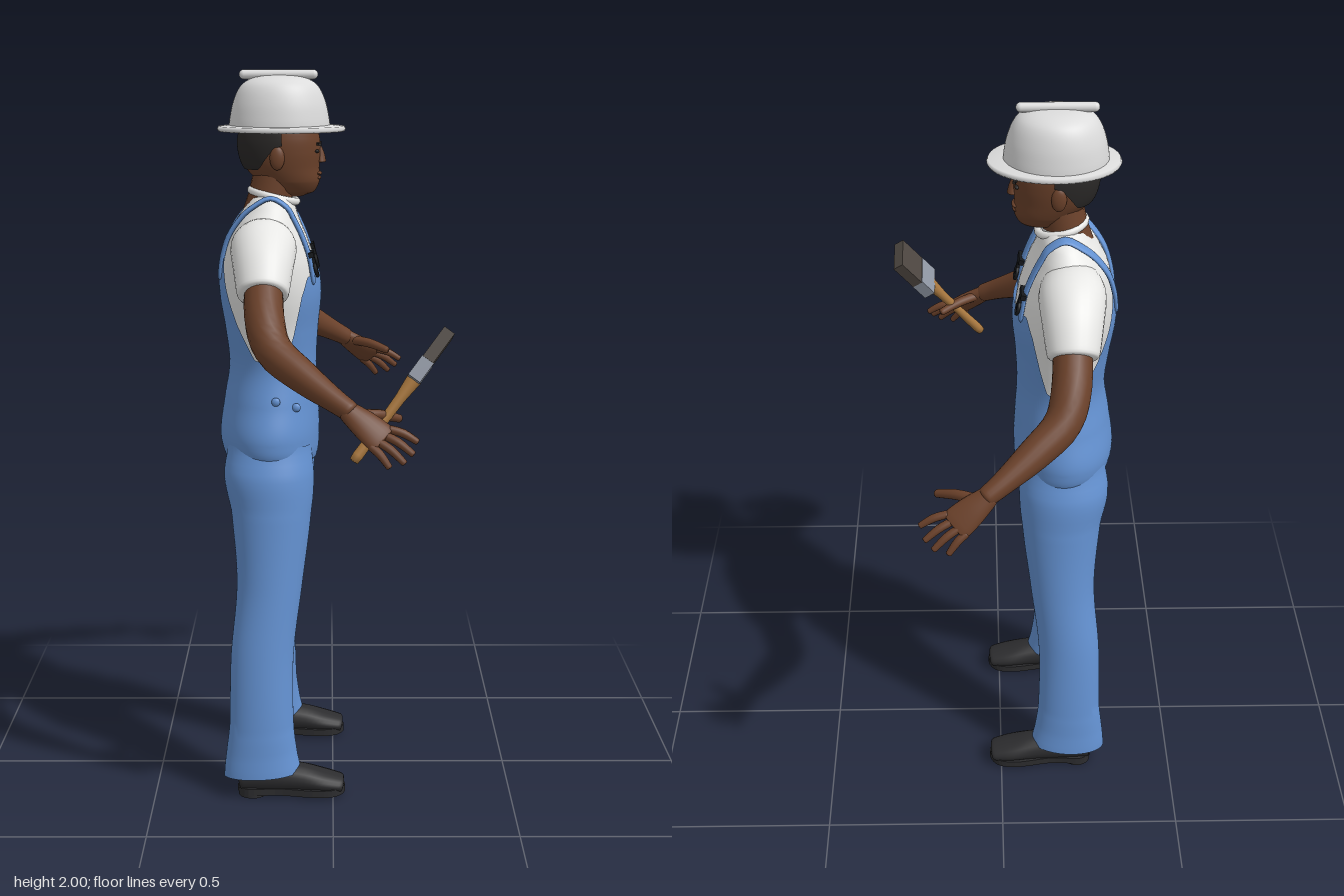
import * as THREE from 'three';
import { ParametricGeometry } from 'three/addons/geometries/ParametricGeometry.js';

const mat = (name, color, double) => {
  const m = new THREE.MeshStandardMaterial({ color, side: double ? THREE.DoubleSide : THREE.FrontSide });
  m.name = name;
  return m;
};

// Catmull-Rom blend of rows of numbers inside segment i
function blend(rows, i, f) {
  const n = rows.length - 1;
  const [a, b, c, d] = [rows[Math.max(i - 1, 0)], rows[i], rows[i + 1], rows[Math.min(i + 2, n)]];
  return b.map((_, k) => b[k] + 0.5 * f * (c[k] - a[k] + f * (2 * a[k] - 5 * b[k] + 4 * c[k] - d[k]
    + f * (3 * (b[k] - c[k]) + d[k] - a[k]))));
}
const alongRows = (rows, t) => {
  const s = t * (rows.length - 1), i = Math.min(Math.floor(s), rows.length - 2);
  return blend(rows, i, s - i);
};
const rowAt = (rows, y) => {
  let i = 0;
  while (i < rows.length - 2 && y > rows[i + 1][0]) i++;
  return blend(rows, i, THREE.MathUtils.clamp((y - rows[i][0]) / (rows[i + 1][0] - rows[i][0]), 0, 1));
};

// Upright body from elliptical slices [y, back x, front x, inner z, outer z]; angle 0 faces +x
function loft(rows, { side = 1, grow = 0, y0, y1, a0 = 0, a1 = Math.PI * 2, slices = 48, stacks = 40 } = {}) {
  const low = y0 ?? (() => rows[0][0]), high = y1 ?? (() => rows[rows.length - 1][0]);
  return new ParametricGeometry((u, v, p) => {
    const a = a0 + (a1 - a0) * u;
    const fold = Math.acos(THREE.MathUtils.clamp(Math.cos(a), -1, 1));
    const y = THREE.MathUtils.lerp(low(fold), high(fold), v);
    const [, xb, xf, zi, zo] = rowAt(rows, y);
    p.set((xb + xf) / 2 + ((xf - xb) / 2 + grow) * Math.cos(a), y,
      side * (zi + zo) / 2 - ((zo - zi) / 2 + grow) * Math.sin(a));
  }, slices, stacks);
}

// Rounded limb along rows [x, y, z, radius across, radius along ref]
function limb(rows, ref = [0, 1, 0], side = 1, slices = 20, stacks = 28) {
  const r = rows.map(([x, y, z, ra, rb = ra]) => [x, y, z * side, ra, rb]);
  const up = new THREE.Vector3(ref[0], ref[1], ref[2] * side);
  const dir = new THREE.Vector3(), s = new THREE.Vector3(), t = new THREE.Vector3();
  return new ParametricGeometry((u, v, p) => {
    const w = 0.5 - 0.5 * Math.cos(Math.PI * v), a = u * Math.PI * 2;
    const c = alongRows(r, w);
    const b = alongRows(r, Math.max(w - 0.002, 0)), e = alongRows(r, Math.min(w + 0.002, 1));
    dir.set(e[0] - b[0], e[1] - b[1], e[2] - b[2]).normalize();
    s.crossVectors(up, dir).normalize();
    t.crossVectors(dir, s);
    const round = Math.max(Math.sqrt(Math.max(1 - Math.pow(2 * w - 1, 30), 0)), 0.02);
    p.set(c[0], c[1], c[2]).addScaledVector(s, c[3] * round * Math.cos(a)).addScaledVector(t, c[4] * round * Math.sin(a));
  }, slices, stacks);
}

export function createModel() {
  const model = new THREE.Group();
  model.name = 'painter';
  const skin = mat('brown skin', 0x6b412a), white = mat('white shirt', 0xececea, true);
  const denim = mat('blue denim', 0x6492d2, true), shell = mat('helmet white', 0xdcdcdc, true);
  const black = mat('shoe black', 0x2c2c2e), hairMat = mat('hair', 0x2a2827, true);
  const wood = mat('wood', 0xa9783f), steel = mat('steel', 0x8f96a3);
  const bristle = mat('bristles', 0x4d4640), plastic = mat('buckle black', 0x17191c);
  const add = (name, geo, m, pos = [0, 0, 0], parent = model) => {
    const mesh = new THREE.Mesh(geo, m);
    mesh.name = name;
    mesh.position.set(...pos);
    parent.add(mesh);
    return mesh;
  };
  const ball = (x, y, z) => new THREE.SphereGeometry(1, 20, 14).scale(x, y, z);

  // Torso: shirt, and overalls whose top edge dips under the arms
  const torso = [[0.895, -0.26, -0.1, 0.02], [0.93, -0.295, -0.052, 0.17], [1.0, -0.312, -0.042, 0.2],
    [1.1, -0.3, -0.045, 0.178], [1.2, -0.285, -0.05, 0.158], [1.3, -0.295, -0.045, 0.172], [1.4, -0.31, -0.036, 0.195],
    [1.48, -0.308, -0.045, 0.205], [1.55, -0.293, -0.067, 0.2], [1.6, -0.268, -0.088, 0.17], [1.64, -0.24, -0.1, 0.125],
    [1.662, -0.225, -0.11, 0.09], [1.672, -0.2, -0.13, 0.05]].map(([y, b, f, h]) => [y, b, f, -h, h]);
  const edge = [[0, 1.455], [0.7, 1.455], [0.76, 1.44], [0.9, 1.4], [1.05, 1.3], [1.2, 1.235], [1.5, 1.215],
    [1.95, 1.23], [2.3, 1.32], [2.55, 1.43], [2.7, 1.51], [2.95, 1.47], [3.15, 1.45]];
  const bibTop = a => {
    const i = Math.max(edge.findIndex(e => e[0] >= a), 1), [p, q] = [edge[i - 1], edge[i]];
    return THREE.MathUtils.mapLinear(a, p[0], q[0], p[1], q[1]);
  };
  add('shirt', loft(torso, { grow: -0.004, y0: () => 1.16 }), white);
  add('overalls', loft(torso, { grow: 0.004, y1: bibTop, slices: 120 }), denim);
  const collar = add('collar', new THREE.TorusGeometry(0.064, 0.011, 10, 32).rotateX(Math.PI / 2), white, [-0.162, 1.662, 0]);
  collar.rotation.z = -0.25;

  // Point on the torso front (sign 1) or back (sign -1)
  const onTorso = (y, z, sign) => {
    const [, b, f, , h] = rowAt(torso, y);
    return [(b + f) / 2 + sign * ((f - b) / 2 * Math.sqrt(Math.max(1 - (z / h) ** 2, 0)) + 0.005), y, z];
  };

  const legRows = [[0.06, -0.306, -0.088, 0.16, 0.286], [0.12, -0.3, -0.1, 0.157, 0.28], [0.2, -0.29, -0.11, 0.15, 0.274],
    [0.4, -0.285, -0.11, 0.122, 0.258], [0.6, -0.268, -0.085, 0.075, 0.236], [0.8, -0.282, -0.06, 0.033, 0.222],
    [0.9, -0.302, -0.052, 0.005, 0.216], [0.99, -0.29, -0.06, 0.01, 0.19]];
  const footprint = new THREE.Shape();
  footprint.setFromPoints(new THREE.SplineCurve([[-0.268, 0], [-0.24, 0.04], [-0.15, 0.038], [-0.05, 0.054], [0.01, 0.044],
    [0.034, 0], [0.01, -0.044], [-0.05, -0.054], [-0.15, -0.038], [-0.24, -0.04], [-0.268, 0]]
    .map(p => new THREE.Vector2(...p))).getPoints(48));

  for (const side of [1, -1]) {
    // Trouser leg and shoe
    add('trouserLeg', loft(legRows, { side, y0: a => 0.075 - 0.006 * a }), denim);
    const shoe = new THREE.Group();
    shoe.name = 'shoe';
    shoe.position.z = side * 0.221;
    model.add(shoe);
    add('shoeUpper', limb([[-0.267, 0.05, 0, 0.036, 0.04], [-0.2, 0.055, 0, 0.042, 0.046], [-0.1, 0.05, 0, 0.047, 0.04],
      [-0.03, 0.04, 0, 0.052, 0.03], [0.03, 0.03, 0, 0.042, 0.022]]), black, [0, 0, 0], shoe);
    add('sole', new THREE.ExtrudeGeometry(footprint, { depth: 0.02, bevelEnabled: false }).rotateX(-Math.PI / 2),
      black, [0, 0.008, 0], shoe);
    add('heel', new THREE.CylinderGeometry(0.04, 0.04, 0.02, 24), black, [-0.226, 0.01, 0], shoe);

    // Strap over the shoulder, buckle and hip buttons
    const zs = 0.103 * side;
    const strap = [...[1.43, 1.5, 1.56, 1.61, 1.64].map(y => onTorso(y, zs, 1)), [-0.168, 1.663, zs],
      ...[1.64, 1.61, 1.56, 1.5, 1.44].map(y => onTorso(y, zs * (0.6 + (y - 1.44) * 2), -1))];
    add('strap', limb(strap.map(p => [...p, 0.007, 0.021]), [0, 0, 1], 1, 16, 48), denim);
    const buckle = new THREE.Group();
    buckle.name = 'buckle';
    buckle.position.set(onTorso(1.49, zs, 1)[0] + 0.007, 1.49, zs);
    buckle.rotation.z = 0.25;
    model.add(buckle);
    add('buckleBar', new THREE.BoxGeometry(0.014, 0.014, 0.062), plastic, [0, 0.024, 0], buckle);
    add('buckleClip', new THREE.BoxGeometry(0.014, 0.045, 0.022), plastic, [0, 0, 0], buckle);
    add('buckleLoop', new THREE.TorusGeometry(0.018, 0.005, 8, 20).rotateY(Math.PI / 2), plastic, [0.002, -0.02, 0], buckle);
    for (const [x, y, z] of [[-0.155, 1.12, 0.18], [-0.1, 1.1, 0.157]])
      add('hipButton', ball(0.012, 0.012, 0.008), denim, [x, y, side * z]);

    // Sleeve, arm and hand
    add('sleeve', limb([[-0.185, 1.55, 0.1, 0.075, 0.06], [-0.185, 1.537, 0.17, 0.088, 0.076],
      [-0.184, 1.495, 0.24, 0.08, 0.074], [-0.183, 1.425, 0.308, 0.067, 0.064]], [0, 1, 0], side, 28), white);
    add('arm', limb([[-0.182, 1.47, 0.27, 0.05], [-0.177, 1.375, 0.36, 0.052], [-0.152, 1.305, 0.42, 0.049],
      [-0.08, 1.25, 0.475, 0.043], [0, 1.2, 0.53, 0.031], [0.05, 1.17, 0.558, 0.026]], [0, 1, 0], side), skin);
    const palmUp = [0.0125, 0.059, 0.082];
    add('palm', limb([[0.03, 1.18, 0.55, 0.026, 0.022], [0.075, 1.147, 0.568, 0.038, 0.02],
      [0.11, 1.12, 0.582, 0.043, 0.016], [0.126, 1.108, 0.588, 0.04, 0.012]], palmUp, side), skin);
    const fingers = [[[0.092, 1.097, 0.599], [0.14, 1.045, 0.62]], [[0.108, 1.109, 0.592], [0.178, 1.055, 0.615]],
      [[0.124, 1.121, 0.578], [0.2, 1.075, 0.602]], [[0.138, 1.133, 0.567], [0.212, 1.1, 0.572]],
      [[0.06, 1.165, 0.553], [0.172, 1.142, 0.487]]];
    fingers.forEach(([b, t], i) => {
      const r = i === 4 ? 0.014 : 0.011, mid = b.map((v, k) => (v + t[k]) / 2);
      mid[1] += 0.006;
      add(i === 4 ? 'thumb' : 'finger', limb([[...b, r], [...mid, r], [...t, r * 0.75]], [0, 1, 0], side, 10, 14), skin);
    });

    // Ear, brow and eye
    add('ear', ball(0.02, 0.032, 0.011), skin, [-0.15, 1.768, side * 0.084]);
    const brow = add('brow', new THREE.BoxGeometry(0.008, 0.007, 0.034), hairMat, [-0.04, 1.803, side * 0.036]);
    brow.rotation.y = side * 0.3;
    add('eye', ball(0.006, 0.005, 0.012), hairMat, [-0.043, 1.784, side * 0.034]);
  }

  // Head
  const head = [[1.66, -0.13, -0.085, 0.012], [1.672, -0.18, -0.052, 0.042], [1.7, -0.205, -0.037, 0.062],
    [1.74, -0.24, -0.037, 0.075], [1.78, -0.254, -0.034, 0.082], [1.82, -0.255, -0.036, 0.083],
    [1.88, -0.24, -0.05, 0.075]].map(([y, b, f, h]) => [y, b, f, -h, h]);
  add('neck', limb([[-0.195, 1.58, 0, 0.064, 0.072], [-0.172, 1.66, 0, 0.06, 0.066], [-0.15, 1.76, 0, 0.06, 0.06]], [0, 0, 1]), skin);
  add('head', loft(head), skin);
  add('hair', loft(head, { grow: 0.005, a0: 1.5, a1: Math.PI * 2 - 1.5,
    y0: a => 1.8 - 0.065 * THREE.MathUtils.smoothstep(a, 1.5, 2.3) }), hairMat);
  add('nose', limb([[-0.042, 1.8, 0, 0.008], [-0.034, 1.775, 0, 0.011], [-0.032, 1.752, 0, 0.014, 0.017]], [0, 0, 1], 1, 14, 14), skin);
  add('upperLip', ball(0.009, 0.006, 0.026), skin, [-0.039, 1.723, 0]);
  add('lowerLip', ball(0.009, 0.006, 0.022), skin, [-0.041, 1.711, 0]);

  // Helmet
  const lathe = pts => new THREE.LatheGeometry(pts.map(p => new THREE.Vector2(...p)), 56);
  const dome = new THREE.SplineCurve([[1, 1.845], [0.98, 1.87], [0.92, 1.91], [0.81, 1.947], [0.66, 1.969], [0.4, 1.982], [0.001, 1.986]]
    .map(p => new THREE.Vector2(...p))).getPoints(30).map(p => [p.x, p.y]);
  add('helmetDome', lathe(dome).scale(0.138, 1, 0.124), shell, [-0.145, 0, 0]);
  add('helmetBrim', lathe([[0.7, 1.836], [0.98, 1.836], [1, 1.842], [0.98, 1.85], [0.7, 1.854]]).scale(0.175, 1, 0.142), shell, [-0.14, 0, 0]);
  add('helmetRidge', new THREE.CapsuleGeometry(0.013, 0.188, 6, 16).rotateZ(Math.PI / 2), shell, [-0.147, 1.987, 0]);

  // Paint brush, its length along local y
  const brush = new THREE.Group();
  brush.name = 'paintBrush';
  const along = new THREE.Vector3(0.593, 0.765, -0.247).normalize();
  const normal = new THREE.Vector3().crossVectors(new THREE.Vector3(0, 0.31, 0.95), along).normalize();
  const across = new THREE.Vector3().crossVectors(along, normal);
  brush.quaternion.setFromRotationMatrix(new THREE.Matrix4().makeBasis(across, along, normal));
  brush.position.set(0.05, 1.045, 0.55);
  model.add(brush);
  add('handle', lathe([[0.001, 0], [0.012, 0.002], [0.014, 0.02], [0.012, 0.12], [0.014, 0.2], [0.02, 0.26]]), wood, [0, 0, 0], brush);
  add('ferrule', new THREE.BoxGeometry(0.1, 0.06, 0.036), steel, [0, 0.285, 0], brush);
  add('bristles', new THREE.BoxGeometry(0.104, 0.092, 0.032), bristle, [0, 0.36, 0], brush);
  return model;
}
